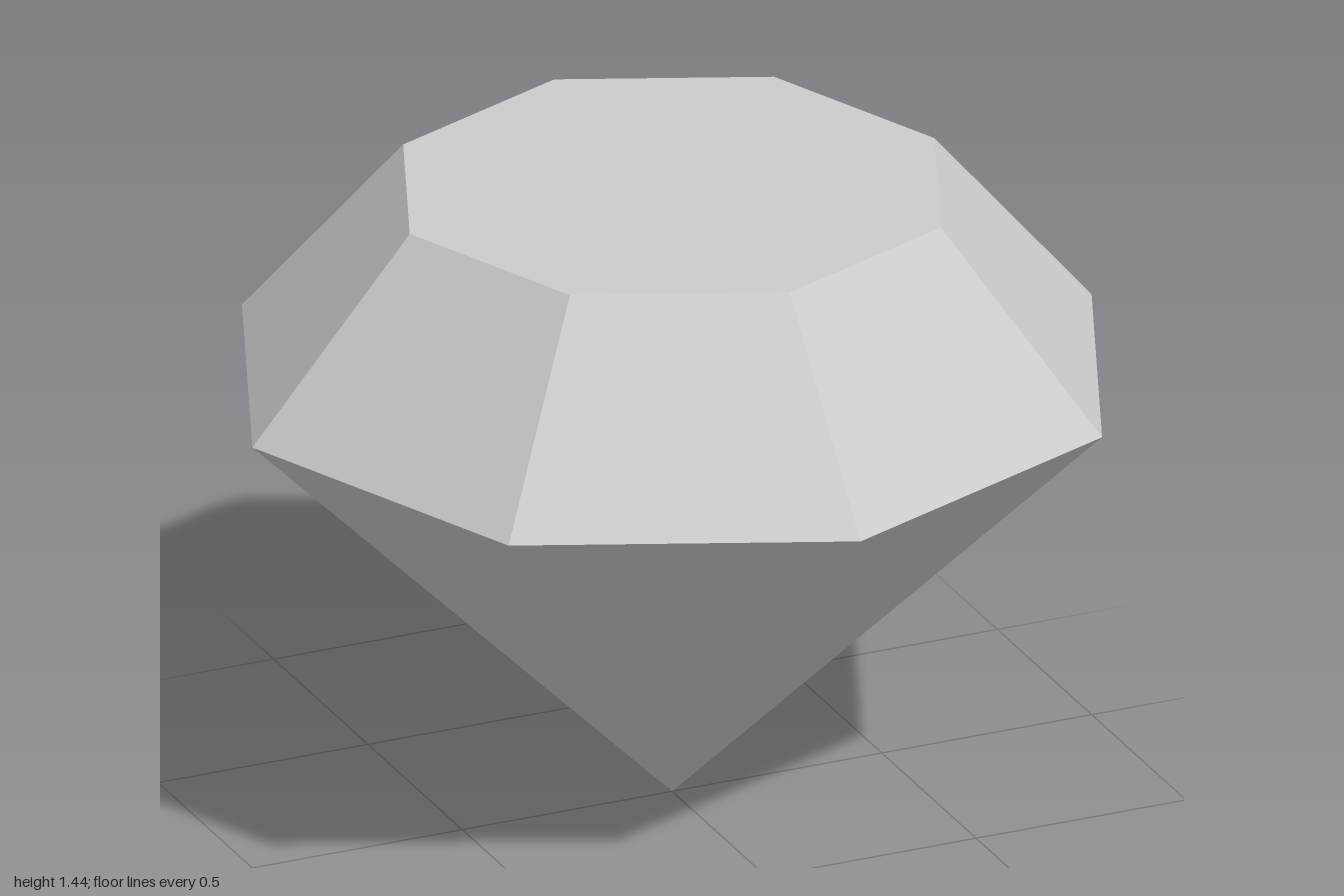
import * as THREE from 'three';

const SIDES = 8;
const GIRDLE_RADIUS = 1;
const GIRDLE_Y = 1;
const TABLE_RADIUS = 0.625;
const TOP_Y = 1.44;

export function createModel() {
  const model = new THREE.Group();
  model.name = 'cutGem';

  const gemGrey = new THREE.MeshStandardMaterial({ color: 0xcccccc, flatShading: true });
  gemGrey.name = 'gemGrey';

  const add = (name, geometry, y) => {
    const mesh = new THREE.Mesh(geometry, gemGrey);
    mesh.name = name;
    mesh.position.y = y;
    model.add(mesh);
  };

  // Pointed lower half, its corners on the x and z axes
  add('pavilion', new THREE.CylinderGeometry(GIRDLE_RADIUS, 0, GIRDLE_Y, SIDES, 1, true), GIRDLE_Y / 2);

  // Sloping facets above the girdle
  const crownHeight = TOP_Y - GIRDLE_Y;
  add('crown', new THREE.CylinderGeometry(TABLE_RADIUS, GIRDLE_RADIUS, crownHeight, SIDES, 1, true), GIRDLE_Y + crownHeight / 2);

  // Flat top facet
  add('table', new THREE.CircleGeometry(TABLE_RADIUS, SIDES).rotateX(-Math.PI / 2), TOP_Y);

  return model;
}
